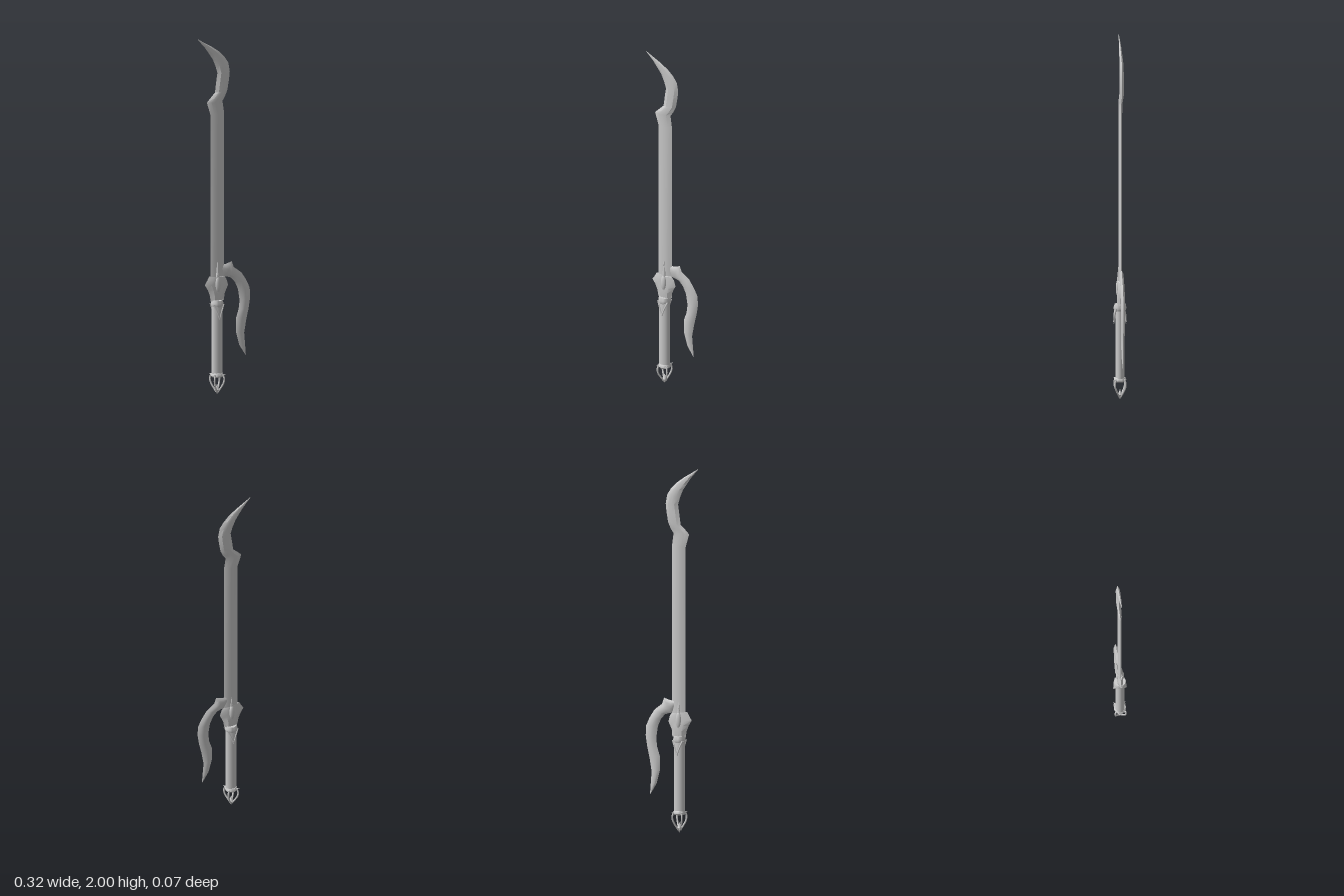
import * as THREE from 'three';
import { toCreasedNormals } from 'three/addons/utils/BufferGeometryUtils.js';

const CX = -0.046; // axis of the grip
const material = new THREE.MeshStandardMaterial({ color: 0xcccccc, side: THREE.DoubleSide });

function add(parent, name, geometry, x = 0, y = 0, z = 0) {
  const mesh = new THREE.Mesh(geometry, material);
  mesh.name = name;
  mesh.position.set(x, y, z);
  parent.add(mesh);
  return mesh;
}

// Bevelled loft: each row is [leftX, leftY, rightX, rightY, halfThickness, midZ].
// The section gives [fraction across, fraction of thickness], counter-clockwise from above.
const BEVEL = [[0, 0], [0.25, 0.9], [0.5, 1], [0.75, 0.9], [1, 0], [0.75, -0.9], [0.5, -1], [0.25, -0.9]];
function loft(rows, crease = 0.45) {
  const n = BEVEL.length, pos = [], idx = [];
  for (const [lx, ly, rx, ry, t, z = 0] of rows)
    for (const [u, w] of BEVEL) pos.push(lx + (rx - lx) * u, ly + (ry - ly) * u, z + w * t);
  for (let i = 0; i < rows.length - 1; i++)
    for (let j = 0; j < n; j++) {
      const a = i * n + j, b = i * n + (j + 1) % n;
      idx.push(a, b, b + n, a, b + n, a + n);
    }
  const top = (rows.length - 1) * n;
  for (let j = 1; j < n - 1; j++) {
    idx.push(0, j + 1, j);
    idx.push(top, top + j, top + j + 1);
  }
  const g = new THREE.BufferGeometry();
  g.setAttribute('position', new THREE.Float32BufferAttribute(pos, 3));
  g.setIndex(idx);
  return toCreasedNormals(g, crease);
}

// Thin round bar through a few points
const bar = (points, r) => new THREE.TubeGeometry(
  new THREE.CatmullRomCurve3(points.map(p => new THREE.Vector3(...p))), 10, r, 6);

const lathe = points => toCreasedNormals(
  new THREE.LatheGeometry(points.map(p => new THREE.Vector2(...p)), 24), 0.6);

export function createModel() {
  const root = new THREE.Group();
  root.name = 'hookedSword';

  // Straight blade, kinked and curling to a hooked tip
  add(root, 'blade', loft([
    [-0.085, 0.53, -0.002, 0.53, 0.009, -0.002],
    [-0.085, 1.57, -0.002, 1.57, 0.009, -0.002],
    [-0.106, 1.64, -0.012, 1.64, 0.010, -0.003],
    [-0.082, 1.665, 0.005, 1.665, 0.011, -0.004],
    [-0.056, 1.69, 0.02, 1.70, 0.012, -0.006],
    [-0.048, 1.75, 0.03, 1.76, 0.012, -0.006],
    [-0.041, 1.80, 0.034, 1.80, 0.012, -0.006],
    [-0.053, 1.84, 0.025, 1.85, 0.011, -0.006],
    [-0.07, 1.88, 0.002, 1.885, 0.010, -0.006],
    [-0.09, 1.91, -0.03, 1.918, 0.008, -0.005],
    [-0.118, 1.95, -0.075, 1.95, 0.006, -0.004],
    [-0.161, 1.999, -0.158, 2.0, 0.001, -0.002],
  ]));

  // Curved side hook hanging beside the grip
  add(root, 'sideHook', loft([
    [0.127, 0.2, 0.13, 0.2, 0.001],
    [0.09, 0.26, 0.126, 0.25, 0.006],
    [0.07, 0.335, 0.12, 0.325, 0.009],
    [0.071, 0.415, 0.133, 0.40, 0.011],
    [0.086, 0.46, 0.147, 0.46, 0.0115],
    [0.092, 0.51, 0.156, 0.52, 0.0115],
    [0.082, 0.575, 0.153, 0.575, 0.0115],
    [0.064, 0.615, 0.132, 0.62, 0.0115],
    [0.04, 0.643, 0.103, 0.665, 0.011],
    [0.02, 0.65, 0.057, 0.70, 0.011],
    [0.0, 0.655, 0.045, 0.734, 0.010],
    [-0.012, 0.675, 0.01, 0.724, 0.009],
    [-0.02, 0.69, -0.016, 0.722, 0.005],
  ].map(r => [...r, -0.004]), 0.6));

  // Guard with side points, and a spike and oval boss on both faces
  const guard = new THREE.Group();
  guard.name = 'guard';
  root.add(guard);
  add(guard, 'guardBody', loft([
    [-0.084, 0.525, -0.005, 0.525, 0.015],
    [-0.09, 0.56, 0.0, 0.56, 0.017],
    [-0.102, 0.59, 0.01, 0.585, 0.016],
    [-0.12, 0.62, 0.021, 0.605, 0.014],
    [-0.104, 0.645, 0.011, 0.64, 0.013],
    [-0.094, 0.665, 0.0, 0.655, 0.011],
    [-0.082, 0.66, -0.01, 0.66, 0.008],
  ]));
  add(guard, 'guardSpike', loft([
    [CX - 0.012, 0.53, CX + 0.012, 0.53, 0.016],
    [CX - 0.024, 0.61, CX + 0.024, 0.61, 0.018],
    [CX - 0.012, 0.67, CX + 0.012, 0.67, 0.016],
    [CX - 0.001, 0.76, CX + 0.001, 0.76, 0.007],
  ]));
  for (const s of [-1, 1]) {
    const boss = add(guard, 'guardBoss', new THREE.SphereGeometry(1, 16, 12), CX, 0.618, s * 0.012);
    boss.scale.set(0.016, 0.045, 0.011);
  }

  // Oval grip
  const grip = add(root, 'grip', new THREE.CylinderGeometry(0.031, 0.031, 0.42, 24), CX, 0.32, 0);
  grip.scale.z = 0.8;

  // Collar below the guard, with a pointed V flap front and back
  const collar = new THREE.Group();
  collar.name = 'collar';
  root.add(collar);
  add(collar, 'collarRing', lathe([
    [0, 0.495], [0.031, 0.495], [0.034, 0.503], [0.034, 0.515], [0.03, 0.53], [0, 0.53],
  ]), CX);
  for (const s of [-1, 1]) {
    add(collar, 'collarFlap', loft([
      [CX - 0.002, 0.422, CX + 0.002, 0.422, 0.002, s * 0.032],
      [CX - 0.014, 0.465, CX + 0.014, 0.465, 0.004, s * 0.028],
      [CX - 0.028, 0.508, CX + 0.028, 0.508, 0.005, s * 0.024],
    ]));
    for (const m of [-1, 1])
      add(collar, 'flapRim', bar([
        [m * 0.03, 0.508, s * 0.022], [m * 0.016, 0.475, s * 0.029], [0, 0.43, s * 0.033],
      ], 0.004), CX);
  }

  // Open cage pommel: ring, four diagonal arms and a pointed end
  const pommel = new THREE.Group();
  pommel.name = 'pommel';
  root.add(pommel);
  add(pommel, 'pommelRing', lathe([
    [0, 0.1], [0.03, 0.1], [0.034, 0.107], [0.033, 0.115], [0.029, 0.122], [0, 0.122],
  ]), CX);
  for (const sx of [-1, 1])
    for (const sz of [-1, 1]) {
      add(pommel, 'cageArm', bar([
        [sx * 0.023, 0.115, sz * 0.023], [sx * 0.029, 0.09, sz * 0.029],
        [sx * 0.026, 0.065, sz * 0.026], [sx * 0.004, 0.014, sz * 0.004],
      ], 0.0048), CX);
      const horn = add(pommel, 'ringHorn', new THREE.ConeGeometry(0.008, 0.024, 6), CX + sx * 0.026, 0.113, sz * 0.026);
      horn.quaternion.setFromUnitVectors(new THREE.Vector3(0, 1, 0), new THREE.Vector3(sx, 0.4, sz).normalize());
    }
  add(pommel, 'pommelPoint', lathe([[0, 0], [0.013, 0.026], [0.007, 0.038], [0, 0.06]]), CX);

  return root;
}
